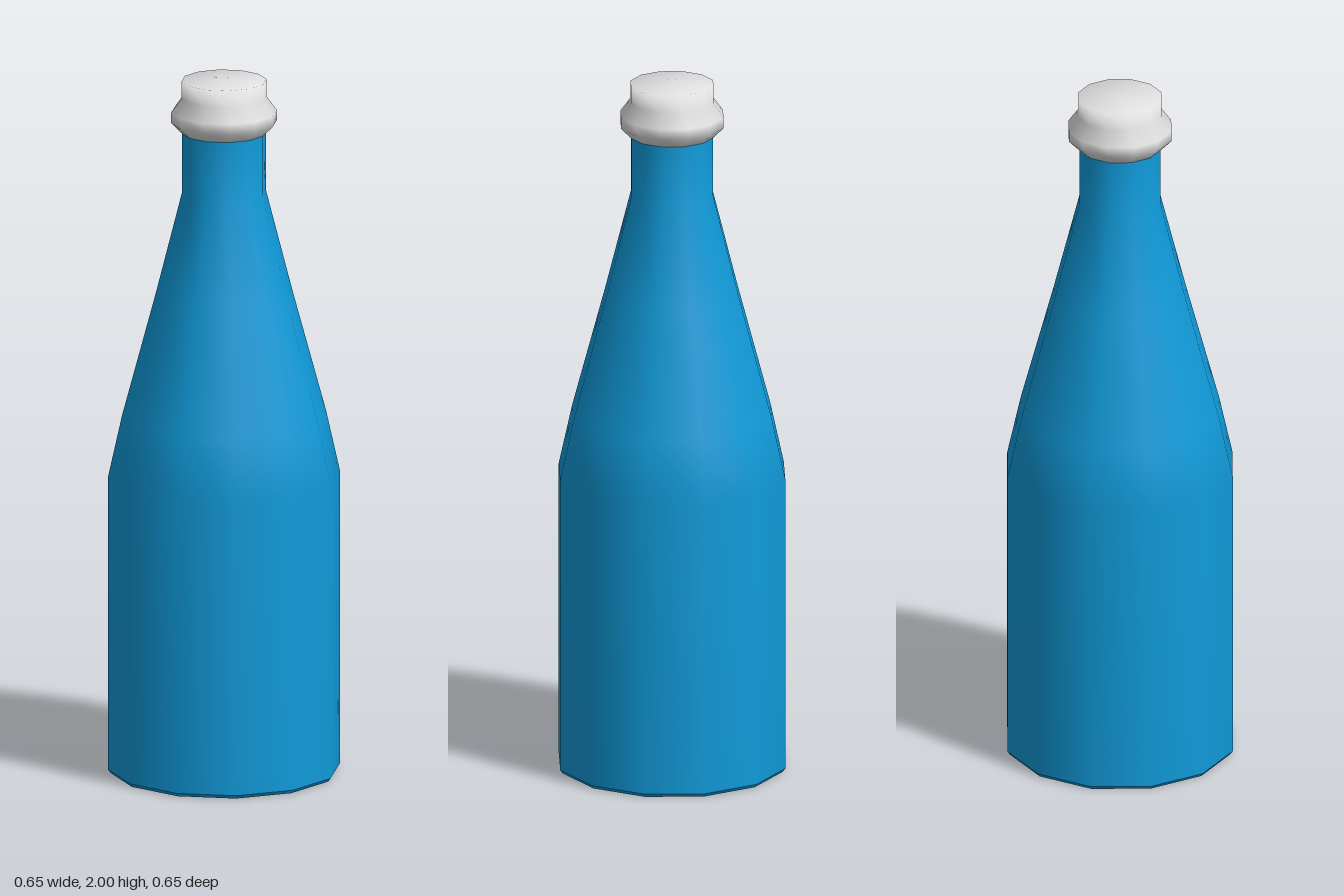
import * as THREE from 'three';

const SIDES = 12;

// Turned part from [radius, height] pairs, listed bottom to top
function turned(name, profile, material) {
  const points = profile.map(([r, y]) => new THREE.Vector2(r, y));
  const mesh = new THREE.Mesh(new THREE.LatheGeometry(points, SIDES), material);
  mesh.name = name;
  return mesh;
}

export function createModel() {
  const blue = new THREE.MeshStandardMaterial({ color: 0x109ad9 });
  blue.name = 'blue glass';
  const white = new THREE.MeshStandardMaterial({ color: 0xe0e0e0 });
  white.name = 'cap white';

  const bottle = new THREE.Group();
  bottle.name = 'bottle';

  // Flat underside with a small bevel around it
  bottle.add(turned('base', [[0, 0], [0.32, 0]], blue));
  bottle.add(turned('baseBevel', [[0.32, 0], [0.327, 0.01]], blue));

  // Straight body, tapering shoulder and narrow neck
  bottle.add(turned('body', [
    [0.327, 0.01], [0.327, 0.86], [0.288, 1.035], [0.192, 1.39],
    [0.118, 1.68], [0.118, 1.87],
  ], blue));

  // Cap with a bulging collar and closed top
  bottle.add(turned('cap', [
    [0.1, 1.85], [0.12, 1.85], [0.149, 1.88], [0.149, 1.91],
    [0.12, 1.95], [0.12, 2], [0, 2],
  ], white));

  return bottle;
}
